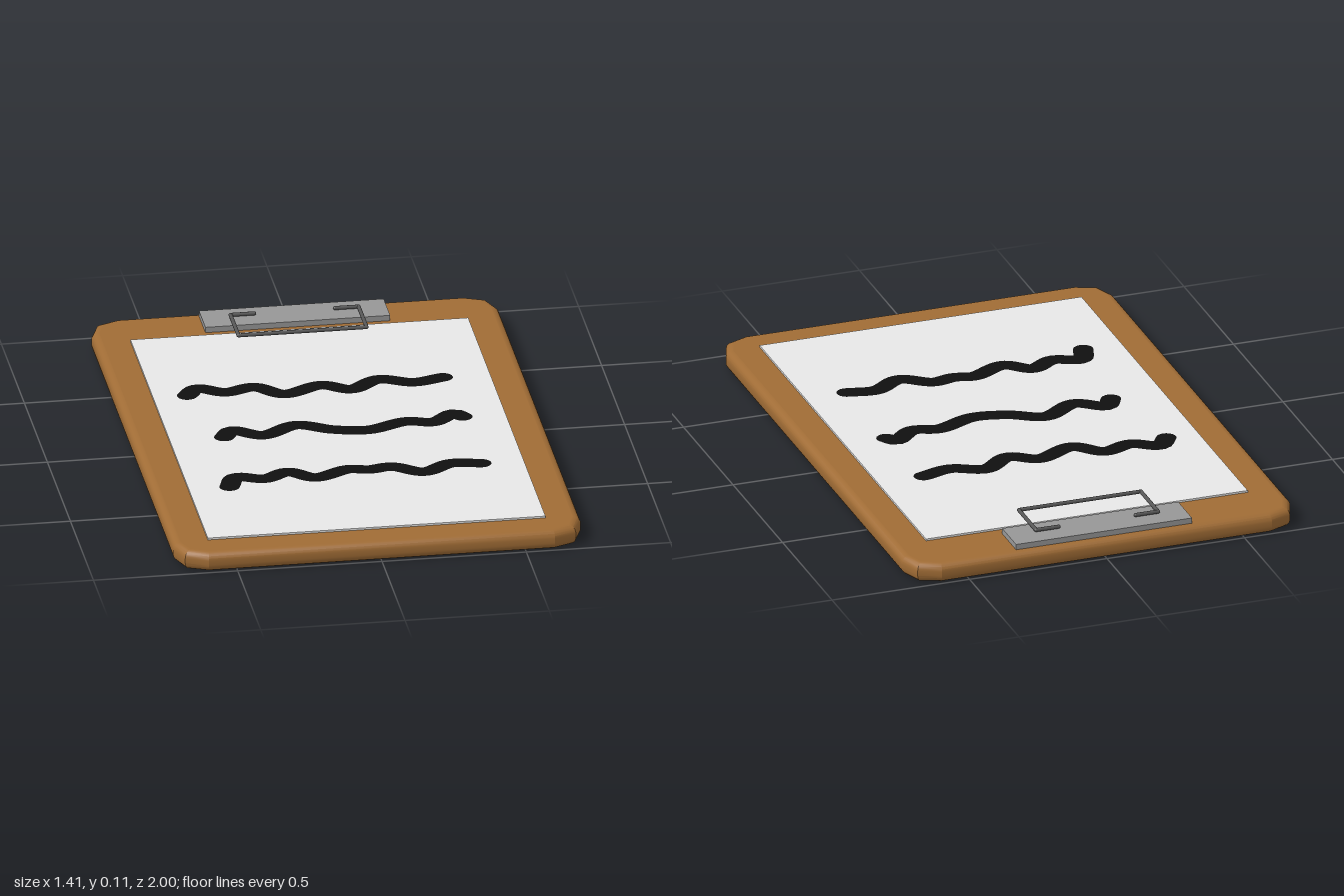
import * as THREE from 'three';
import { toCreasedNormals } from 'three/addons/utils/BufferGeometryUtils.js';

const flat = (name, color, extra = {}) =>
  Object.assign(new THREE.MeshStandardMaterial({ color, ...extra }), { name });

function createModel() {
  const wood = flat('wood', 0xa06c35);
  const paperWhite = flat('paper white', 0xf6f6f6);
  const steel = flat('steel', 0x979797);
  const darkWire = flat('dark wire', 0x565656);
  const ink = flat('black ink', 0x101010, { side: THREE.DoubleSide });

  const model = new THREE.Group();
  model.name = 'clipboard';
  const add = (name, geometry, material, parent = model) => {
    const mesh = new THREE.Mesh(geometry, material);
    mesh.name = name;
    parent.add(mesh);
    return mesh;
  };
  const slab = (name, material, x, y0, y1, z0, z1) =>
    add(name, new THREE.BoxGeometry(2 * x, y1 - y0, z1 - z0), material)
      .position.set(0, (y0 + y1) / 2, (z0 + z1) / 2);

  // Board: clipped corners and a rounded rim
  const corner = [[0.706, 0.89], [0.677, 0.968], [0.6, 1]];
  const back = corner.slice().reverse();
  const outline = [
    ...corner,
    ...back.map(([x, z]) => [-x, z]),
    ...corner.map(([x, z]) => [-x, -z]),
    ...back.map(([x, z]) => [x, -z]),
  ].map(([x, z]) => new THREE.Vector2(x, z));
  let board = new THREE.ExtrudeGeometry(new THREE.Shape(outline), {
    depth: 0.016, bevelThickness: 0.027, bevelSize: 0.027, bevelOffset: -0.027, bevelSegments: 5,
  });
  const caps = board.groups[0];
  board = toCreasedNormals(board, 0.37);
  // Keep the two large faces perfectly flat
  for (let i = caps.start; i < caps.start + caps.count; i++) {
    board.attributes.normal.setXYZ(i, 0, 0, board.attributes.position.getZ(i) > 0 ? 1 : -1);
  }
  board.clearGroups();
  board.rotateX(-Math.PI / 2).translate(0, 0.027, 0);
  add('board', board, wood);

  // Paper sheet and clip plate
  slab('paper', paperWhite, 0.585, 0.068, 0.077, -0.797, 0.883);
  slab('clipPlate', steel, 0.32, 0.068, 0.09, -0.97, -0.83);

  // Bent wire handle
  const wire = new THREE.Group();
  wire.name = 'clipWire';
  model.add(wire);
  const radius = 0.0068;
  const bends = [[-0.14, -0.9], [-0.222, -0.9], [-0.222, -0.726], [0.222, -0.726], [0.222, -0.9], [0.14, -0.9]]
    .map(([x, z]) => new THREE.Vector3(x, 0.099, z));
  bends.forEach((p, i) => {
    add('wireJoint', new THREE.SphereGeometry(radius, 12, 8), darkWire, wire).position.copy(p);
    if (i === 0) return;
    const run = p.clone().sub(bends[i - 1]);
    const rod = add('wireRod', new THREE.CylinderGeometry(radius, radius, run.length(), 12), darkWire, wire);
    rod.position.copy(p).addScaledVector(run, -0.5);
    rod.quaternion.setFromUnitVectors(new THREE.Vector3(0, 1, 0), run.normalize());
  });

  // Wavy handwriting: flat ribbons with round ends
  const half = 0.035;
  const inkY = 0.079;
  const scribbles = [
    [[-0.468, -0.3], [-0.425, -0.353], [-0.335, -0.307], [-0.23, -0.335], [-0.138, -0.261],
      [0, -0.315], [0.095, -0.265], [0.2, -0.332], [0.315, -0.289], [0.42, -0.315]],
    [[-0.397, 0.062], [-0.362, 0.012], [-0.265, 0.068], [-0.138, 0.002], [-0.02, 0.058],
      [0.1, 0.08], [0.24, 0.03], [0.33, 0.05], [0.41, -0.01], [0.435, 0.02]],
    [[-0.445, 0.475], [-0.41, 0.4], [-0.315, 0.428], [-0.228, 0.384], [-0.143, 0.445],
      [-0.02, 0.394], [0.05, 0.408], [0.13, 0.396], [0.232, 0.456], [0.335, 0.4], [0.437, 0.416]],
  ];
  for (const points of scribbles) {
    const line = new THREE.Group();
    line.name = 'writtenLine';
    model.add(line);
    const curve = new THREE.CatmullRomCurve3(points.map(([x, z]) => new THREE.Vector3(x, inkY, z)));
    const steps = 90;
    const positions = [], normals = [], index = [];
    for (let i = 0; i <= steps; i++) {
      const p = curve.getPointAt(i / steps);
      const t = curve.getTangentAt(i / steps);
      for (const s of [1, -1]) {
        positions.push(p.x + s * t.z * half, p.y, p.z - s * t.x * half);
        normals.push(0, 1, 0);
      }
      const a = 2 * i;
      if (i < steps) index.push(a, a + 1, a + 2, a + 1, a + 3, a + 2);
    }
    const ribbon = new THREE.BufferGeometry();
    ribbon.setAttribute('position', new THREE.Float32BufferAttribute(positions, 3));
    ribbon.setAttribute('normal', new THREE.Float32BufferAttribute(normals, 3));
    ribbon.setIndex(index);
    add('inkStroke', ribbon, ink, line);
    for (const u of [0, 1]) {
      const end = add('inkEnd', new THREE.CircleGeometry(half, 20).rotateX(-Math.PI / 2), ink, line);
      end.position.copy(curve.getPointAt(u));
    }
  }
  return model;
}

export { createModel };
